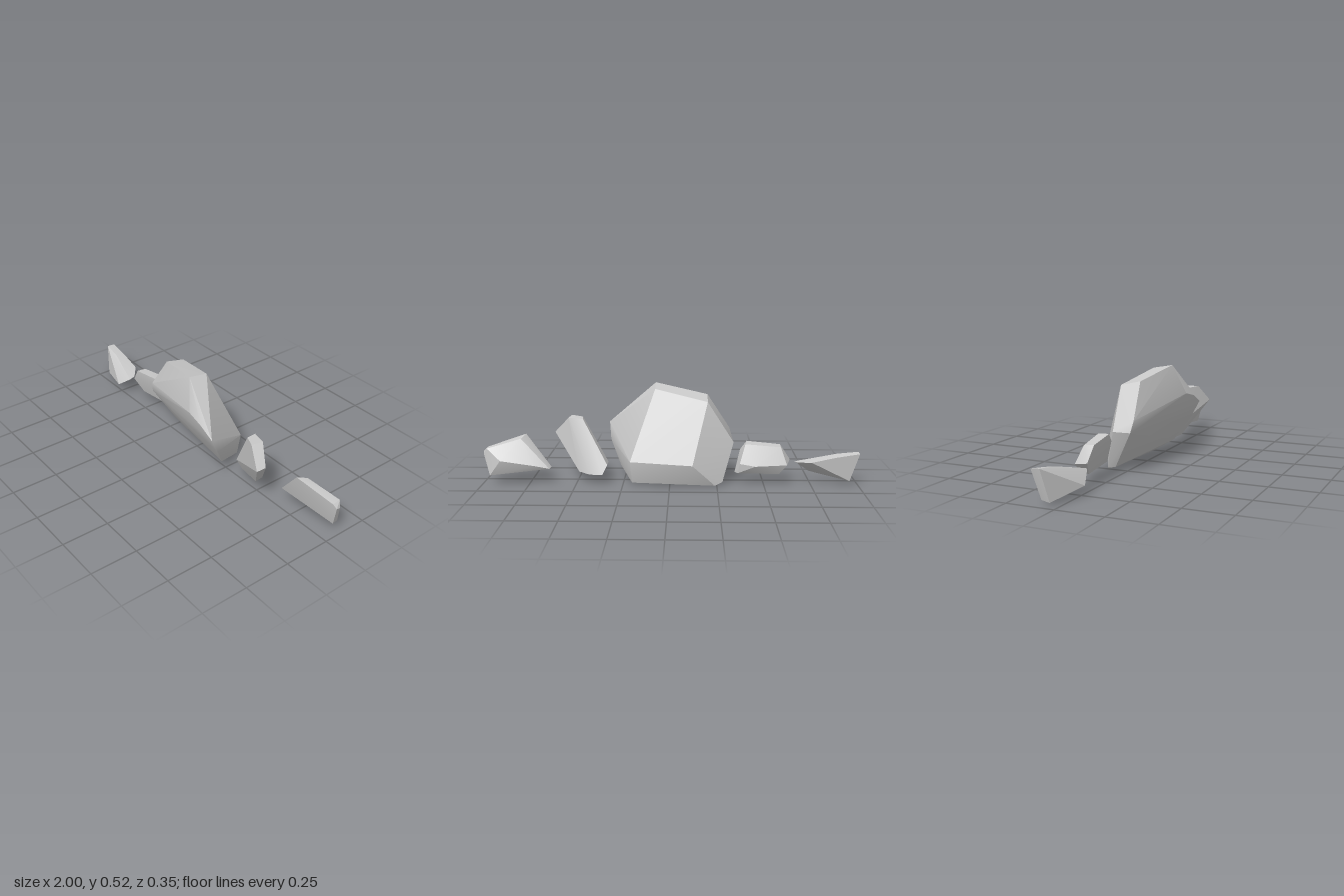
import * as THREE from 'three';
import { toCreasedNormals } from 'three/addons/utils/BufferGeometryUtils.js';
import { ConvexGeometry } from 'three/addons/geometries/ConvexGeometry.js';

// A faceted stone: the hull of a front outline and a back outline
function stone(name, front, back, material) {
  const points = [...front, ...back].map((p) => new THREE.Vector3(...p));
  const geometry = toCreasedNormals(new ConvexGeometry(points), 0.4);
  const mesh = new THREE.Mesh(geometry, material);
  mesh.name = name;
  return mesh;
}

export function createModel() {
  const group = new THREE.Group();
  group.name = 'rockRow';
  const grey = new THREE.MeshStandardMaterial({ color: 0xcccccc });

  // Large middle boulder, leaning forward over a narrow foot
  group.add(stone('centreBoulder', [
    [-0.2, 0.465, 0.05], [0.08, 0.52, 0.11], [0.15, 0.36, 0.165], [0.25, 0.335, 0.17],
    [0.34, 0.29, 0.17], [0.33, 0.2, 0.125], [0.27, 0.07, 0.045], [0.2, 0.018, -0.04],
    [-0.27, 0.02, -0.06], [-0.335, 0.22, 0.055], [-0.32, 0.28, 0.067],
  ], [
    [-0.2, 0.44, -0.06], [0.08, 0.5, 0], [0.21, 0.13, -0.135], [0.2, 0.015, -0.12],
    [0.05, 0.1, -0.14], [-0.12, 0.12, -0.177], [-0.24, 0, -0.12], [-0.28, 0.015, -0.1],
    [-0.34, 0.22, -0.04],
  ], grey));

  // Tall slanted stone beside the boulder
  group.add(stone('leftInnerStone', [
    [0.335, 0.1, 0], [0.365, 0.05, -0.015], [0.49, 0.05, 0], [0.63, 0.25, 0.125],
    [0.54, 0.342, 0.085], [0.475, 0.338, 0.055],
  ], [
    [0.335, 0.1, -0.08], [0.36, 0.05, -0.1], [0.43, 0.048, -0.085], [0.49, 0.055, -0.045],
    [0.632, 0.25, 0.07], [0.55, 0.338, 0.02], [0.47, 0.335, 0],
  ], grey));

  // Wedge at the left end
  group.add(stone('leftOuterStone', [
    [0.64, 0.08, -0.04], [0.78, 0.252, 0.005], [0.98, 0.19, -0.045], [1, 0.17, -0.052],
    [0.965, 0.047, -0.075],
  ], [
    [0.645, 0.08, -0.09], [0.72, 0.1, -0.112], [0.8, 0.235, -0.05], [0.9, 0.13, -0.128],
    [0.975, 0.19, -0.095], [0.995, 0.16, -0.08], [0.96, 0.047, -0.11],
  ], grey));

  // Low block on the other side of the boulder
  group.add(stone('rightInnerStone', [
    [-0.59, 0.205, -0.015], [-0.41, 0.225, -0.025], [-0.375, 0.18, -0.03],
    [-0.345, 0.065, -0.07], [-0.58, 0.057, -0.05], [-0.643, 0.125, -0.025],
  ], [
    [-0.59, 0.2, -0.07], [-0.4, 0.22, -0.09], [-0.62, 0.11, -0.105], [-0.45, 0.11, -0.14],
    [-0.37, 0.12, -0.12], [-0.58, 0.06, -0.095], [-0.36, 0.067, -0.11],
  ], grey));

  // Thin shard at the right end
  group.add(stone('rightOuterStone', [
    [-1, 0.178, -0.07], [-0.89, 0.165, -0.06], [-0.67, 0.11, -0.01], [-0.75, 0.05, 0.02],
    [-0.96, 0.015, -0.045],
  ], [
    [-1, 0.175, -0.115], [-0.88, 0.155, -0.113], [-0.75, 0.125, -0.107],
    [-0.68, 0.112, -0.05], [-0.955, 0.022, -0.09],
  ], grey));

  return group;
}
